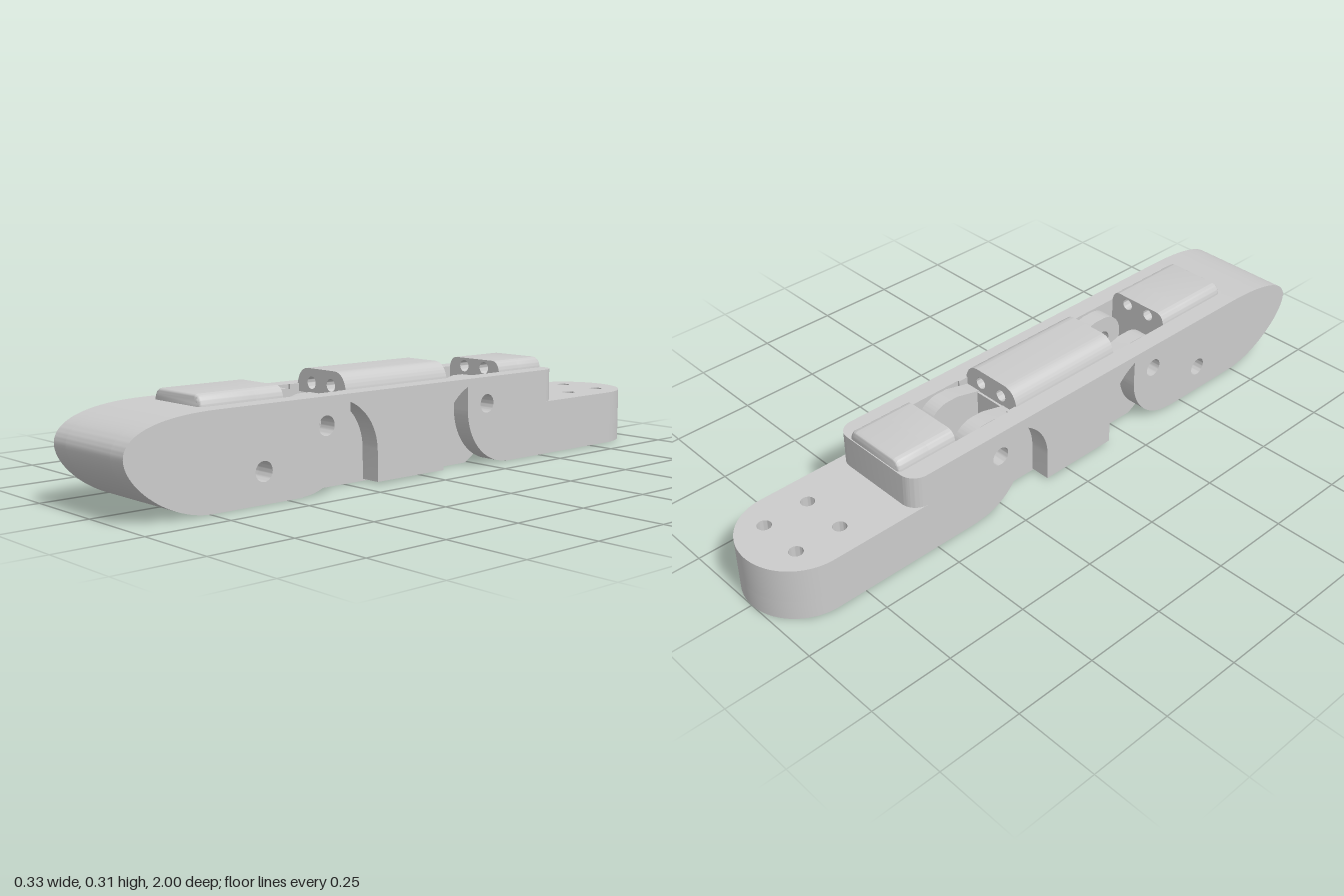
import * as THREE from 'three';
import { toCreasedNormals } from 'three/addons/utils/BufferGeometryUtils.js';

const W = 0.163, INNER = 0.105, TOP = 0.265, SEAT = 0.24;
const material = new THREE.MeshStandardMaterial({ color: 0xcccccc });

function addMesh(group, name, geometry) {
  const mesh = new THREE.Mesh(toCreasedNormals(geometry, 0.6), material);
  mesh.name = name;
  group.add(mesh);
}

function drill(shape, holes) {
  for (const [x, y, r] of holes) {
    const path = new THREE.Path();
    path.absarc(x, y, r, 0, Math.PI * 2, true);
    shape.holes.push(path);
  }
  return shape;
}

function extrude(shape, depth, bevel = 0) {
  return new THREE.ExtrudeGeometry(shape, {
    depth: depth - 2 * bevel, curveSegments: 24, bevelEnabled: bevel > 0,
    bevelThickness: bevel, bevelSize: bevel, bevelOffset: -bevel, bevelSegments: 4,
  });
}

// side profile (z, y) swept across x from x0 to x1
const slab = (shape, x0, x1) => extrude(shape, x1 - x0).rotateY(-Math.PI / 2).translate(x1, 0, 0);

// plan outline (x, z) swept up from y0 to y1
const plate = (shape, y0, y1) => extrude(shape, y1 - y0).rotateX(Math.PI / 2).translate(0, y1, 0);

// the same side profile on both sides of the finger
function addPair(group, name, shape, x0, x1) {
  addMesh(group, 'left' + name, slab(shape, x0, x1));
  addMesh(group, 'right' + name, slab(shape, -x1, -x0));
}

function polygon(points) {
  return new THREE.Shape(points.map(([x, y]) => new THREE.Vector2(x, y)));
}

// round-shouldered cross-section of a grip pad, with optional cord holes
function padShape(top, r, holes) {
  const s = new THREE.Shape();
  s.moveTo(-INNER, SEAT);
  s.lineTo(INNER, SEAT);
  s.lineTo(INNER, Math.max(TOP, top - r));
  s.quadraticCurveTo(INNER - r * 0.2, top, INNER - r, top);
  s.lineTo(-INNER + r, top);
  s.quadraticCurveTo(-INNER + r * 0.2, top, -INNER, Math.max(TOP, top - r));
  s.closePath();
  return holes ? drill(s, [[0.042, 0.272, 0.018], [-0.042, 0.272, 0.018]]) : s;
}

// fingertip profile
function tipProfile() {
  const s = new THREE.Shape();
  s.moveTo(0.45, 0);
  s.lineTo(0.74, 0);
  s.bezierCurveTo(0.87, 0, 1, 0.1, 1, 0.17);
  s.bezierCurveTo(1, 0.21, 0.95, TOP, 0.72, TOP);
  s.lineTo(0.28, TOP);
  s.lineTo(0.28, 0.175);
  s.absarc(0.45, 0.172, 0.17, Math.PI, Math.PI * 1.5, false);
  return s;
}

function tipCore() {
  const s = new THREE.Shape();
  s.moveTo(0.467, 0);
  s.lineTo(0.74, 0);
  s.bezierCurveTo(0.87, 0, 1, 0.1, 1, 0.17);
  s.bezierCurveTo(1, 0.21, 0.95, TOP, 0.72, TOP);
  s.lineTo(0.72, SEAT);
  s.lineTo(0.467, SEAT);
  return s;
}

function buildTip() {
  const g = new THREE.Group();
  g.name = 'tipSegment';
  const pin = [0.578, 0.088, 0.028];
  addPair(g, 'TipCheek', drill(tipProfile(), [pin, [0.365, 0.185, 0.028]]), INNER, W);
  addMesh(g, 'tipCore', slab(drill(tipCore(), [pin]), -INNER, INNER));
  addMesh(g, 'tipPadHoledEnd', extrude(padShape(0.297, 0.03, true), 0.09).translate(0, 0, 0.467));
  addMesh(g, 'tipPad', extrude(padShape(0.297, 0.03), 0.205, 0.012).translate(0, 0, 0.542));
  return g;
}

function buildMiddle() {
  const g = new THREE.Group();
  g.name = 'middleSegment';
  // cheeks with concave flanks that clear the neighbouring segments
  const cheek = new THREE.Shape();
  cheek.moveTo(-0.08, 0.006);
  cheek.lineTo(0.18, 0.006);
  cheek.lineTo(0.18, 0.09);
  cheek.bezierCurveTo(0.18, 0.17, 0.23, 0.22, 0.28, 0.242);
  cheek.lineTo(0.28, TOP);
  cheek.lineTo(-0.18, TOP);
  cheek.lineTo(-0.18, 0.242);
  cheek.bezierCurveTo(-0.13, 0.22, -0.08, 0.17, -0.08, 0.09);
  addPair(g, 'MiddleCheek', cheek, 0.1, W);
  addMesh(g, 'middleCore', slab(polygon([[-0.155, 0], [0.255, 0], [0.255, SEAT], [-0.155, SEAT]]), -0.1, 0.1));
  addMesh(g, 'middlePad', extrude(padShape(0.313, 0.05, true), 0.395).translate(0, 0, -0.148));

  // hinge lugs at both ends, mirrored about z = 0.05
  for (const [end, front] of [['Front', true], ['Back', false]]) {
    const lug = new THREE.Shape();
    const z = (v) => (front ? v : 0.1 - v);
    lug.moveTo(z(0.24), 0);
    lug.lineTo(z(0.33), 0);
    lug.bezierCurveTo(z(0.39), 0.02, z(0.442), 0.1, z(0.442), 0.185);
    lug.absarc(z(0.365), 0.185, 0.077, front ? 0 : Math.PI, Math.PI / 2, !front);
    lug.lineTo(z(0.33), 0.262);
    lug.lineTo(z(0.24), SEAT);
    drill(lug, [[z(0.365), 0.185, 0.028]]);
    addPair(g, end + 'Lug', lug, 0.05, 0.1);
  }
  return g;
}

function buildBase() {
  const g = new THREE.Group();
  g.name = 'baseSegment';
  const cheek = new THREE.Shape();
  cheek.moveTo(-0.52, 0);
  cheek.lineTo(-0.35, 0);
  cheek.absarc(-0.35, 0.172, 0.17, -Math.PI / 2, 0, false);
  cheek.lineTo(-0.18, TOP);
  cheek.lineTo(-0.52, TOP);
  addPair(g, 'BaseCheek', drill(cheek, [[-0.262, 0.185, 0.028]]), INNER, W);
  addMesh(g, 'baseCore', slab(polygon([[-0.52, 0], [-0.375, 0], [-0.375, SEAT], [-0.52, SEAT]]), -INNER, INNER));

  // raised step with rounded back corners
  const step = new THREE.Shape();
  step.moveTo(W, -0.52);
  step.lineTo(-W, -0.52);
  step.absarc(-W + 0.05, -0.525, 0.05, Math.PI, Math.PI * 1.5, false);
  step.absarc(W - 0.05, -0.525, 0.05, -Math.PI / 2, 0, false);
  addMesh(g, 'baseStep', plate(step, 0.16, TOP));

  // round-ended mounting plate, screw holes counterbored from below
  for (const [name, r, y0, y1] of [['mountingPlate', 0.02, 0.06, 0.165], ['counterborePlate', 0.034, 0, 0.06]]) {
    const s = new THREE.Shape();
    s.moveTo(W, -0.52);
    s.lineTo(-W, -0.52);
    s.absarc(0, -1 + W, W, Math.PI, Math.PI * 2, false);
    const holes = [];
    for (const x of [-0.07, 0.07]) for (const z of [-0.89, -0.75]) holes.push([x, z, r]);
    addMesh(g, name, plate(drill(s, holes), y0, y1));
  }

  addMesh(g, 'basePadHoledEnd', extrude(padShape(0.297, 0.03, true), 0.09).translate(0, 0, -0.465));
  addMesh(g, 'basePad', extrude(padShape(0.297, 0.03), 0.12, 0.012).translate(0, 0, -0.56));
  return g;
}

export function createModel() {
  const model = new THREE.Group();
  model.name = 'jointedFinger';
  model.add(buildTip(), buildMiddle(), buildBase());
  return model;
}
